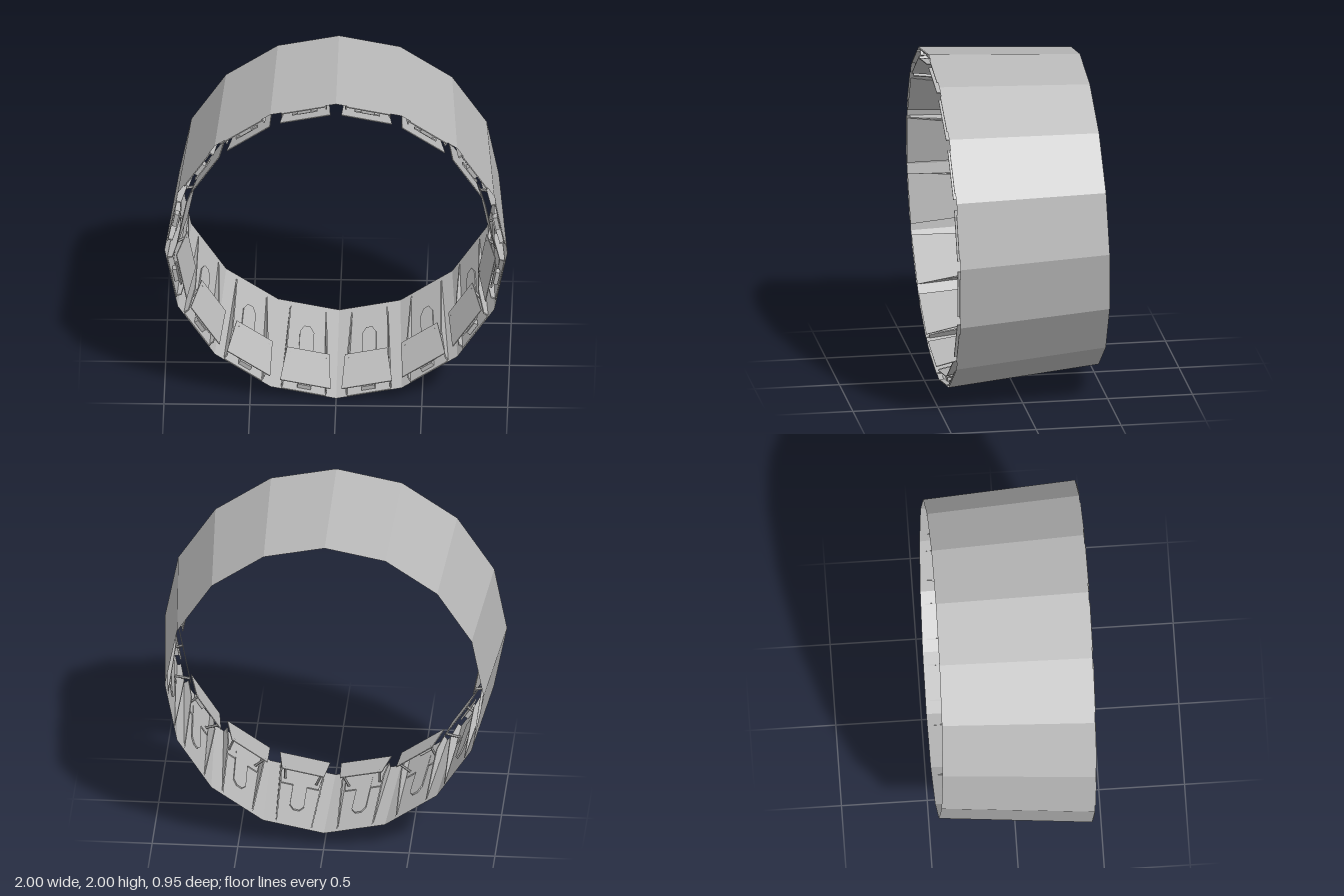
import * as THREE from 'three';

const SIDES = 16;
const FRONT_R = 0.998, BACK_R = 0.93, HALF = 0.445;

// Flat slab: outline in (x, z), thickness grows inward (-y)
function slab(points, thickness) {
  const shape = new THREE.Shape(points.map(([x, z]) => new THREE.Vector2(x, z)));
  return new THREE.ExtrudeGeometry(shape, { depth: thickness, bevelEnabled: false }).rotateX(Math.PI / 2);
}

// Upright fin: outline in (z, y), thickness centred on x
function fin(points, thickness) {
  const shape = new THREE.Shape(points.map(([z, y]) => new THREE.Vector2(z, y)));
  return new THREE.ExtrudeGeometry(shape, { depth: thickness, bevelEnabled: false })
    .translate(0, 0, -thickness / 2).rotateY(-Math.PI / 2);
}

export function createModel() {
  const grey = new THREE.MeshStandardMaterial({ color: 0xb8b8b8, flatShading: true, side: THREE.DoubleSide });
  grey.name = 'grey metal';

  const model = new THREE.Group();
  model.name = 'nozzleRing';
  const ring = new THREE.Group();
  ring.name = 'tiltedRing';
  ring.position.y = 1.0165;
  ring.rotation.x = 0.03;
  model.add(ring);

  const add = (parent, name, geometry) => {
    const mesh = new THREE.Mesh(geometry, grey);
    mesh.name = name;
    parent.add(mesh);
    return mesh;
  };

  // Thin open shell, wider at the front
  add(ring, 'shell', new THREE.CylinderGeometry(FRONT_R, BACK_R, 2 * HALF, SIDES, 1, true).rotateX(Math.PI / 2));

  // Shared parts of one petal: y = 0 is the shell's inner face
  const flapGeo = slab([[-0.15, 0.15], [0.15, 0.15], [0.125, -0.15], [-0.125, -0.15]], 0.005);
  const tongueGeo = slab([[-0.042, 0.3], [0.042, 0.3], [0.042, -0.15], [0.018, -0.21], [-0.018, -0.21], [-0.042, -0.15]], 0.008);
  const baseGeo = slab([[-0.13, 0.45], [0.13, 0.45], [0.11, 0.15], [-0.11, 0.15]], 0.006);
  const bladeGeo = fin([[0.43, 0], [0.43, -0.03], [0.2, -0.05], [0.0, -0.035], [-0.42, 0]], 0.008);
  const blockGeo = new THREE.BoxGeometry(0.08, 0.025, 0.05);
  const barGeo = new THREE.BoxGeometry(0.15, 0.008, 0.025);
  const rodGeo = new THREE.CylinderGeometry(0.008, 0.008, 0.09, 6);

  const midApothem = Math.cos(Math.PI / SIDES) * (FRONT_R + BACK_R) / 2;
  const slope = Math.atan((FRONT_R - BACK_R) * Math.cos(Math.PI / SIDES) / (2 * HALF));

  for (let i = 0; i < SIDES; i++) {
    const sector = new THREE.Group();
    sector.name = 'sector';
    sector.rotation.z = -(i + 0.5) * 2 * Math.PI / SIDES;
    ring.add(sector);

    const petal = new THREE.Group();
    petal.name = 'petal';
    petal.position.y = midApothem - 0.003;
    petal.rotation.x = -slope;
    sector.add(petal);

    // Raised flap, leaning inward at its rear edge
    const flap = add(petal, 'flap', flapGeo);
    flap.position.set(0, -0.072, 0.3);
    flap.rotation.x = -0.1;

    add(petal, 'tongue', tongueGeo);
    add(petal, 'basePlate', baseGeo);

    // Hinge block and cross bar under the flap
    add(petal, 'hingeBlock', blockGeo).position.set(0, -0.022, 0.4);
    add(petal, 'crossBar', barGeo).position.set(0, -0.038, 0.4);

    for (const s of [-1, 1]) {
      const blade = add(petal, 'blade', bladeGeo);
      blade.position.x = s * 0.117;
      blade.rotation.y = s * 0.03;

      // Strut from the shell to the flap
      const rod = add(petal, 'strut', rodGeo);
      rod.position.set(s * 0.1, -0.045, 0.2);
      rod.rotation.set(0.35, 0, s * 0.2);
    }
  }
  return model;
}
